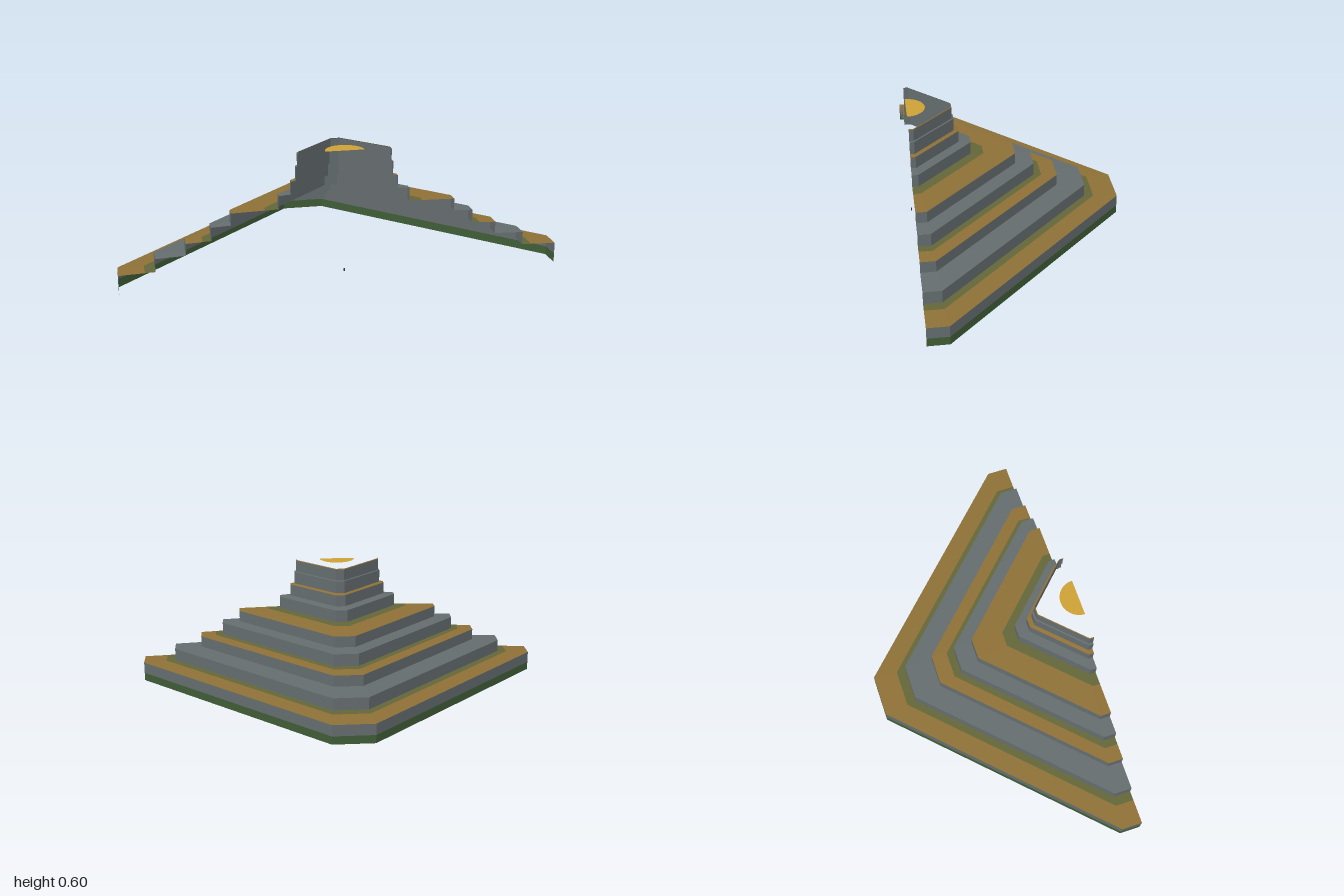
import * as THREE from 'three';

const paint = (name, color, side = THREE.DoubleSide) => {
  const m = new THREE.MeshStandardMaterial({ color, side });
  m.name = name;
  return m;
};

// Half outline of a terrace: a square set on its corner, with blunted tips
function outline(r, y) {
  const c = r * 0.1;
  return [[r, 0.5], [r, 0.5 - c], [c, 0.5 - r], [-c, 0.5 - r], [-r, 0.5 - c], [-r, 0.5]]
    .map(([x, z]) => [x, y, z]);
}

// Flat-faced strip between two outlines, facing outward or upward
function band(name, r0, y0, r1, y1, material) {
  const a = outline(r0, y0), b = outline(r1, y1), pos = [];
  for (let i = 0; i < a.length - 1; i++) {
    pos.push(...a[i], ...a[i + 1], ...b[i + 1], ...a[i], ...b[i + 1], ...b[i]);
  }
  const g = new THREE.BufferGeometry();
  g.setAttribute('position', new THREE.Float32BufferAttribute(pos, 3));
  g.computeVertexNormals();
  const mesh = new THREE.Mesh(g, material);
  mesh.name = name;
  return mesh;
}

export function createModel() {
  const stone = paint('stone', 0x646c6e);
  const earth = paint('ochre earth', 0x8e7036);
  const moss = paint('olive moss', 0x636538);
  const green = paint('dark green footing', 0x3f5c36);
  const gold = paint('gold', 0xcda136);
  const dark = paint('dark stone', 0x30363a);

  const model = new THREE.Group();
  model.name = 'steppedTerraces';

  // Each tier: radius, wall bottom, wall top, tread material, outer radius of the moss strip
  const tiers = [
    [1.0, 0.0, 0.095, earth, 0.885],
    [0.84, 0.1, 0.16, stone],
    [0.705, 0.165, 0.22, earth, 0.63],
    [0.593, 0.225, 0.286, stone],
    [0.505, 0.29, 0.345, earth, 0.355],
    [0.295, 0.35, 0.41, stone],
    [0.24, 0.415, 0.472, earth],
    [0.218, 0.477, 0.538, stone],
    [0.21, 0.54, 0.597, earth],
  ];
  tiers.forEach(([r, y0, y1, tread, mossR], i) => {
    const [nextR, nextY] = tiers[i + 1] ?? [0.206, 0.6];
    const tier = new THREE.Group();
    tier.name = `tier${i + 1}`;

    // Wall, with a green footing on the lowest tier
    const wallY = i === 0 ? 0.04 : y0;
    if (i === 0) tier.add(band('footing', r, 0, r, wallY, green));
    tier.add(band('wall', r, wallY, r, y1, stone));

    // Gently rising tread, mossy at the foot of the next wall
    if (mossR) {
      const midY = y1 + (nextY - y1) * (r - mossR) / (r - nextR);
      tier.add(band('tread', r, y1, mossR, midY, tread));
      tier.add(band('mossStrip', mossR, midY, nextR, nextY, moss));
    } else {
      tier.add(band('tread', r, y1, nextR, nextY, tread));
    }
    model.add(tier);
  });

  // Half disc level with the summit
  const disc = new THREE.Mesh(new THREE.CircleGeometry(0.088, 24, 0, Math.PI), gold);
  disc.name = 'summitDisc';
  disc.rotation.x = -Math.PI / 2;
  disc.position.set(0, 0.6, 0.5);
  model.add(disc);

  // Tiny marker stone at the open front
  const marker = new THREE.Mesh(new THREE.BoxGeometry(0.008, 0.012, 0.004), dark);
  marker.name = 'markerStone';
  marker.position.set(0, 0.042, 0.498);
  model.add(marker);

  return model;
}
